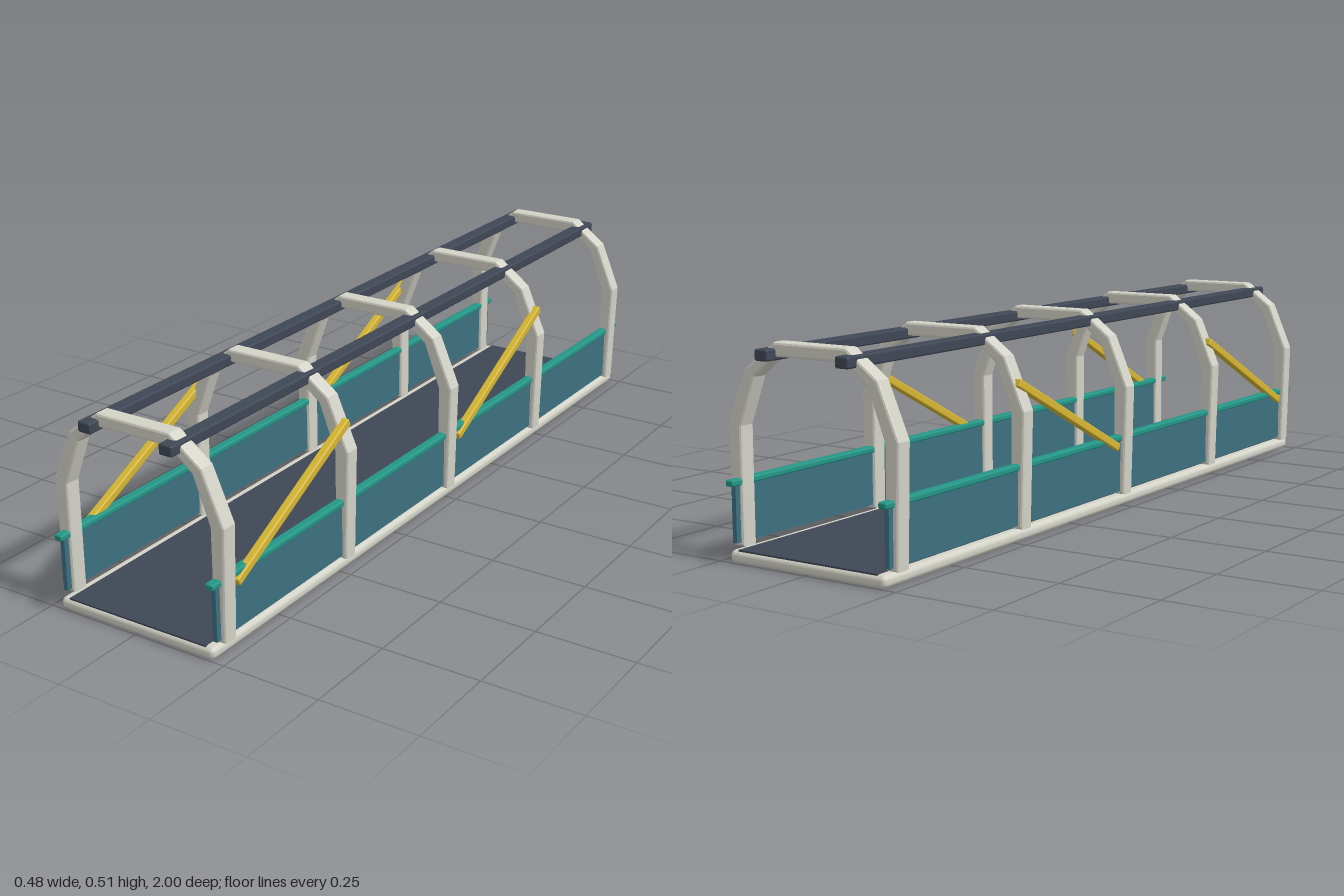
import * as THREE from 'three';
import { RoundedBoxGeometry } from 'three/addons/geometries/RoundedBoxGeometry.js';

const material = (name, color) => {
  const m = new THREE.MeshStandardMaterial({ color });
  m.name = name;
  return m;
};

export function createModel() {
  const frameWhite = material('frame off-white', 0xd3d2c7);
  const darkSlate = material('dark slate', 0x3f4755);
  const panelBlue = material('panel blue', 0x3d7080);
  const railTeal = material('rail teal', 0x239686);
  const braceYellow = material('brace yellow', 0xd6b632);

  const model = new THREE.Group();
  model.name = 'coveredWalkway';

  const add = (name, geometry, mat, x = 0, y = 0, z = 0) => {
    const mesh = new THREE.Mesh(geometry, mat);
    mesh.name = name;
    mesh.position.set(x, y, z);
    model.add(mesh);
    return mesh;
  };

  // Deck: rounded slab with a thin dark walking surface
  add('deckSlab', new RoundedBoxGeometry(0.445, 0.03, 2, 3, 0.013), frameWhite, 0, 0.015, 0);
  add('deckSurface', new THREE.BoxGeometry(0.396, 0.004, 1.99), darkSlate, 0, 0.0297, 0);

  // Arch outline, right half: up the outside, then back down the inside
  const outer = [[0.235, 0.033], [0.242, 0.315], [0.187, 0.443], [0.102, 0.506]];
  const inner = [[0.1, 0.473], [0.16, 0.424], [0.203, 0.31], [0.203, 0.033]];
  const mirror = (points) => points.map(([x, y]) => [-x, y]).reverse();
  const outline = [...outer, ...mirror(outer), ...mirror(inner), ...inner];
  const archShape = new THREE.Shape(outline.map(([x, y]) => new THREE.Vector2(x, y)));
  const bevel = 0.006;
  const archGeometry = new THREE.ExtrudeGeometry(archShape, {
    depth: 0.042 - 2 * bevel,
    bevelSize: bevel,
    bevelThickness: bevel,
    bevelOffset: -bevel,
    bevelSegments: 2,
  });
  archGeometry.translate(0, 0, -0.021 + bevel);

  for (const z of [-0.95, -0.475, 0, 0.475, 0.95]) add('arch', archGeometry, frameWhite, 0, 0, z);

  // Parts repeated on both sides
  const roofRail = new RoundedBoxGeometry(0.037, 0.027, 2, 2, 0.005);
  const panel = new THREE.BoxGeometry(0.012, 0.143, 1.97);
  const handrail = new RoundedBoxGeometry(0.024, 0.016, 2, 2, 0.005);

  for (const side of [-1, 1]) {
    add('roofRail', roofRail, darkSlate, side * 0.1135, 0.4785, 0);
    add('sidePanel', panel, panelBlue, side * 0.2175, 0.1135, 0);
    add('handrail', handrail, railTeal, side * 0.217, 0.182, 0);

    // Diagonal braces rise towards the back
    for (const z of [0.91, -0.045]) {
      const low = new THREE.Vector3(side * 0.224, 0.162, z);
      const high = new THREE.Vector3(side * 0.2175, 0.38, z - 0.44);
      const brace = add('brace',
        new RoundedBoxGeometry(0.021, 0.021, low.distanceTo(high) + 0.01, 2, 0.004), braceYellow);
      brace.position.copy(low).lerp(high, 0.5);
      brace.lookAt(high);
    }
  }

  return model;
}
